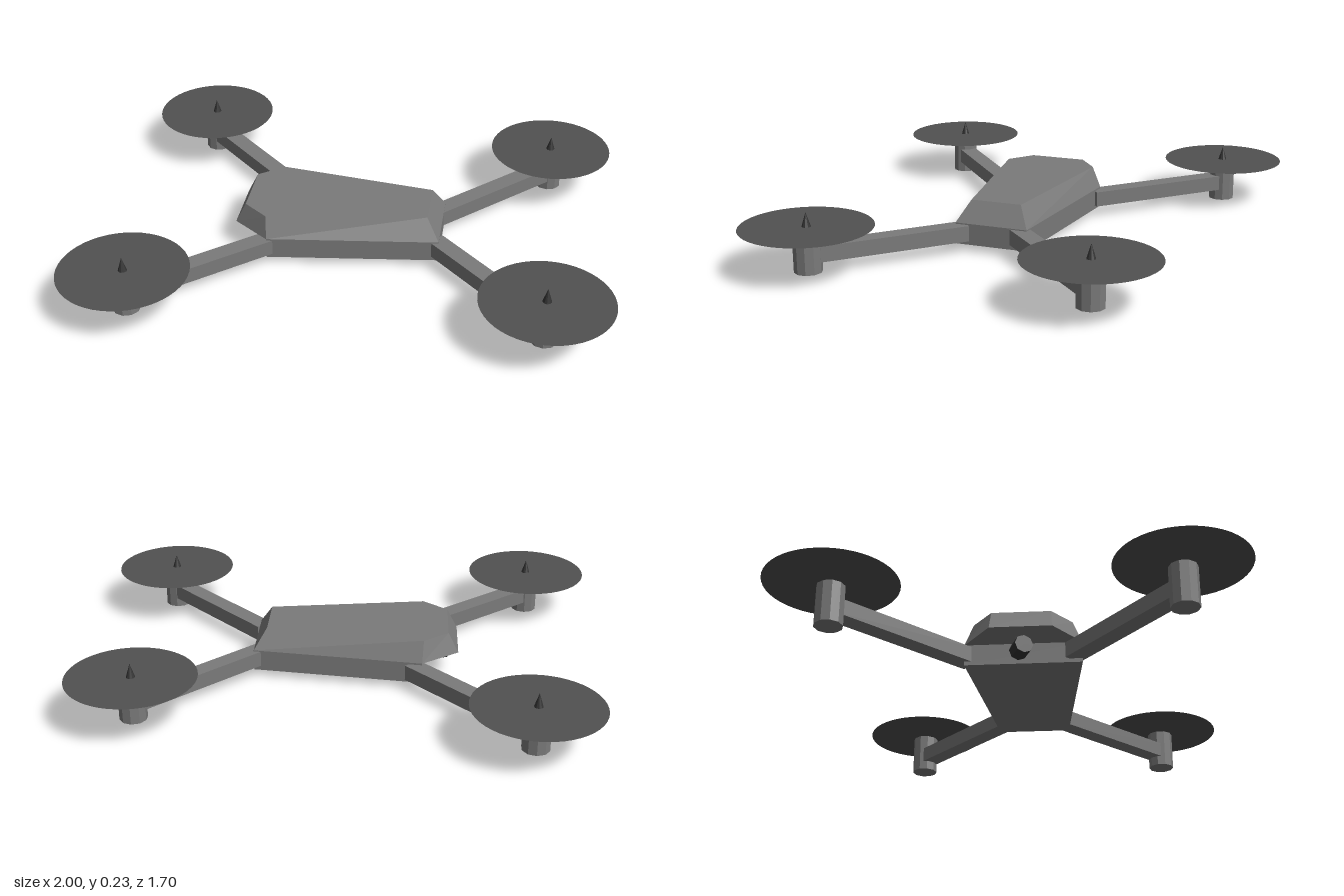
import * as THREE from 'three';

const grey = new THREE.MeshStandardMaterial({ color: 0x7a7a7a, flatShading: true });
const black = new THREE.MeshStandardMaterial({ color: 0x333333, flatShading: true });
const disc = new THREE.MeshStandardMaterial({ color: 0x515151, side: THREE.DoubleSide });

function part(parent, name, geometry, material, x = 0, y = 0, z = 0) {
  const mesh = new THREE.Mesh(geometry, material);
  mesh.name = name;
  mesh.position.set(x, y, z);
  parent.add(mesh);
  return mesh;
}

// Closed solid between two [x, z] outlines, listed clockwise from above
function loft(lower, y0, upper, y1) {
  const pos = [];
  const n = lower.length;
  const lo = (i) => [lower[i % n][0], y0, lower[i % n][1]];
  const hi = (i) => [upper[i % n][0], y1, upper[i % n][1]];
  const tri = (a, b, c) => pos.push(...a, ...b, ...c);
  for (let i = 0; i < n; i++) {
    tri(lo(i + 1), lo(i), hi(i));
    tri(lo(i + 1), hi(i), hi(i + 1));
    if (i > 0 && i < n - 1) {
      tri(hi(0), hi(i + 1), hi(i));
      tri(lo(0), lo(i), lo(i + 1));
    }
  }
  const g = new THREE.BufferGeometry();
  g.setAttribute('position', new THREE.Float32BufferAttribute(pos, 3));
  g.computeVertexNormals();
  return g;
}

export function createModel() {
  const model = new THREE.Group();
  model.name = 'quadcopter';

  // Body: upright lower hull, bevelled shell with overhanging nose
  const rim = [[-0.45, -0.082], [-0.31, -0.186], [0.343, -0.106], [0.343, 0.178], [-0.31, 0.254], [-0.45, 0.148]];
  const roof = [[-0.41, -0.077], [-0.315, -0.151], [0.293, -0.065], [0.293, 0.133], [-0.315, 0.219], [-0.41, 0.143]];
  const base = rim.slice(1, 5);
  part(model, 'lowerHull', loft(base, 0.028, base, 0.11), grey);
  part(model, 'upperShell', loft(rim, 0.11, roof, 0.19), grey);

  // Camera hanging beneath the nose
  part(model, 'cameraMount', new THREE.BoxGeometry(0.032, 0.05, 0.04), black, -0.355, 0.09, 0.03);
  const camera = part(model, 'camera', new THREE.CylinderGeometry(0.035, 0.035, 0.07, 8), black, -0.37, 0.064, 0.03);
  camera.rotation.set(0, Math.PI / 8, Math.PI / 2);

  // Rotor centre, inner end of the arm, motor base height
  const rotors = [
    { name: 'backRight', x: -0.71, z: -0.608, ix: -0.27, iz: -0.168, y: 0 },
    { name: 'backLeft', x: 0.743, z: -0.481, ix: 0.31, iz: -0.055, y: 0.01 },
    { name: 'frontRight', x: -0.758, z: 0.607, ix: -0.3, iz: 0.217, y: 0 },
    { name: 'frontLeft', x: 0.756, z: 0.572, ix: 0.328, iz: 0.144, y: 0.007 },
  ];
  for (const r of rotors) {
    const unit = new THREE.Group();
    unit.name = r.name + 'Rotor';
    model.add(unit);
    const dx = r.x - r.ix, dz = r.z - r.iz;
    const arm = part(unit, 'arm', new THREE.BoxGeometry(Math.hypot(dx, dz), 0.06, 0.07), grey,
      (r.x + r.ix) / 2, 0.073 + r.y * 0.3, (r.z + r.iz) / 2);
    arm.rotation.y = Math.atan2(-dz, dx);
    part(unit, 'motor', new THREE.CylinderGeometry(0.052, 0.052, 0.155, 10), grey, r.x, r.y + 0.0775, r.z);
    const blade = part(unit, 'propellerDisc', new THREE.CircleGeometry(0.242, 48), disc, r.x, r.y + 0.168, r.z);
    blade.rotation.x = -Math.PI / 2;
    part(unit, 'spinner', new THREE.ConeGeometry(0.021, 0.066, 10), black, r.x, r.y + 0.188, r.z);
  }
  return model;
}
